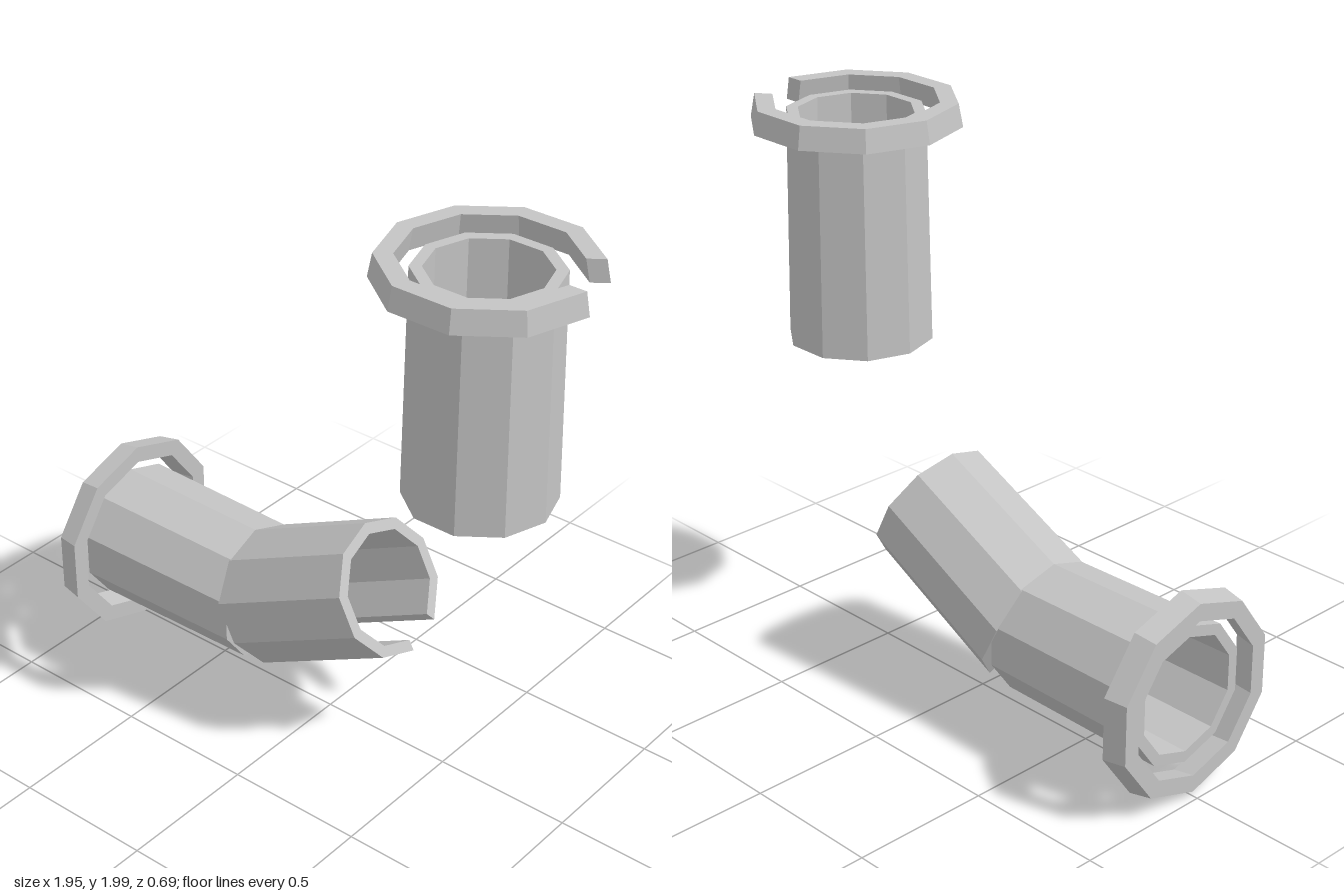
import * as THREE from 'three';
import { mergeGeometries } from 'three/addons/utils/BufferGeometryUtils.js';

const SIDES = 10;

// Faceted hollow tube along the line a -> b (in the xy plane), with outer radii ra, rb.
// With fewer than ten segments it stays open on one side, with capped ends.
function tubeGeometry(a, b, ra, rb, wall, segments = SIDES) {
  const step = (Math.PI * 2) / SIDES;
  const length = Math.hypot(b[0] - a[0], b[1] - a[1]);
  const profile = [
    [ra, 0], [rb, length], [rb - wall, length], [ra - wall, 0], [ra, 0],
  ].map(([x, y]) => new THREE.Vector2(x, y));

  const arc = segments * step;
  const parts = [new THREE.LatheGeometry(profile, segments, Math.PI / 2 - arc, arc).toNonIndexed()];

  if (segments < SIDES) {
    // Cut faces on both sides of the opening
    const shape = (sign) => new THREE.Shape(
      profile.slice(0, 4).map((p) => new THREE.Vector2(sign * p.x, p.y)));
    parts.push(new THREE.ShapeGeometry(shape(-1)).rotateY(Math.PI).toNonIndexed());
    parts.push(new THREE.ShapeGeometry(shape(1)).rotateY((SIDES - segments) * step).toNonIndexed());
  }

  const geometry = mergeGeometries(parts);
  geometry.rotateZ(Math.atan2(b[1] - a[1], b[0] - a[0]) - Math.PI / 2);
  geometry.translate(a[0], a[1], 0);
  geometry.computeVertexNormals();
  return geometry;
}

export function createModel() {
  const group = new THREE.Group();
  group.name = 'pipeFittings';

  const grey = new THREE.MeshStandardMaterial({ color: 0xc4c4c4, flatShading: true });
  grey.name = 'pipe grey';

  const add = (name, ...args) => {
    const mesh = new THREE.Mesh(tubeGeometry(...args), grey);
    mesh.name = name;
    group.add(mesh);
  };

  // Upright pipe with an open collar at its top
  add('uprightPipe', [0.611, 1.155], [0.611, 1.96], 0.253, 0.24, 0.04);
  add('uprightCollar', [0.611, 1.92], [0.611, 2], 0.364, 0.349, 0.063, 9);

  // Level pipe with a full collar at its outer end
  add('levelPipe', [-0.94, 0.369], [-0.28, 0.369], 0.25, 0.241, 0.04);
  add('levelCollar', [-0.98, 0.369], [-0.898, 0.369], 0.345, 0.361, 0.062);

  // Slanted pipe with one side missing underneath
  add('slantedPipe', [-0.275, 0.368], [0.257, 0.635], 0.247, 0.239, 0.04, 9);

  return group;
}
